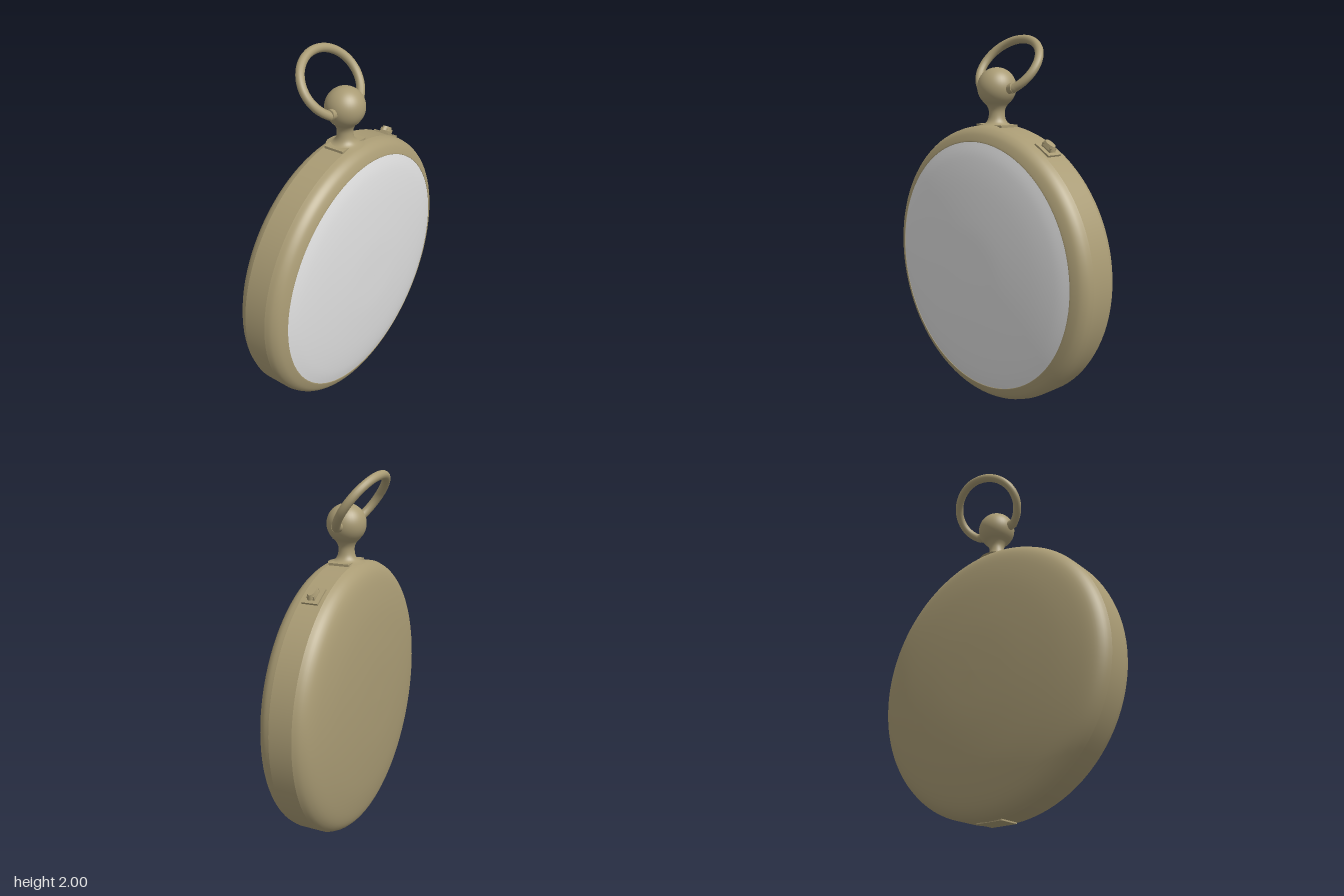
import * as THREE from 'three';

const CY = 0.765; // height of the case centre
const R = 0.76; // case radius

export function createModel() {
  const root = new THREE.Group();
  const brass = new THREE.MeshStandardMaterial({ name: 'brass', color: 0xa99b74, side: THREE.DoubleSide });
  const white = new THREE.MeshStandardMaterial({ name: 'white glass', color: 0xdedede, side: THREE.DoubleSide });

  const add = (name, geometry, material = brass, parent = root) => {
    const mesh = new THREE.Mesh(geometry, material);
    mesh.name = name;
    parent.add(mesh);
    return mesh;
  };
  const smooth = (pts, n = 24) =>
    new THREE.SplineCurve(pts.map(([r, y]) => new THREE.Vector2(r, y))).getPoints(n)
      .map((p) => new THREE.Vector2(Math.max(p.x, 0), p.y));
  // profile of [radius, z] pairs turned about the z axis
  const disc = (pts) => new THREE.LatheGeometry(smooth(pts), 96).rotateX(Math.PI / 2).translate(0, CY, 0);

  // Case
  add('backCover', disc([[0, -0.2], [0.25, -0.195], [0.48, -0.178], [0.62, -0.156], [0.7, -0.132], [0.742, -0.1], [R, -0.065]]));
  add('caseBand', disc([[R, -0.065], [R, 0.06]]));
  add('bezel', disc([[R, 0.06], [0.75, 0.095], [0.725, 0.125], [0.683, 0.145], [0.68, 0.138]]));
  add('glass', disc([[0.683, 0.142], [0.6, 0.163], [0.45, 0.182], [0.22, 0.197], [0, 0.2]]), white);

  // Flat fittings let into the band, placed by angle from the top
  const fitting = (name, angle, radius, w, h, d) => {
    const group = new THREE.Group();
    group.name = name;
    group.position.y = CY;
    group.rotation.z = -angle;
    root.add(group);
    add(name + 'Plate', new THREE.BoxGeometry(w, h, d).translate(0, radius - h / 2, 0), brass, group);
    return group;
  };
  fitting('neckBase', 0, 0.766, 0.2, 0.03, 0.115);
  fitting('hinge', Math.PI, 0.763, 0.16, 0.03, 0.12);

  // Push button on the upper left shoulder
  const button = fitting('pushButton', Math.PI / 6, 0.768, 0.11, 0.03, 0.09);
  add('buttonStem', new THREE.BoxGeometry(0.065, 0.05, 0.04).translate(0, 0.765, 0), brass, button);
  add('buttonCap', new THREE.CylinderGeometry(0.035, 0.047, 0.024, 20).scale(1, 1, 0.55).translate(0, 0.79, 0), brass, button);

  // Flared neck and crown ball
  add('neck', new THREE.LatheGeometry(
    smooth([[0.1, 1.522], [0.065, 1.535], [0.047, 1.56], [0.043, 1.6], [0.055, 1.63], [0.075, 1.65]]), 32));
  add('crownBall', new THREE.SphereGeometry(0.105, 40, 28).translate(0, 1.725, 0));

  // Tilted oval bow whose ends enter the ball
  const bowPoints = [];
  const start = 0.62;
  for (let i = 0; i <= 40; i++) {
    const a = -Math.PI / 2 + start + (i / 40) * (2 * Math.PI - 2 * start);
    const y = 1.835 + 0.143 * Math.sin(a);
    bowPoints.push(new THREE.Vector3(0.206 * Math.cos(a), y, -0.73 * (y - 1.72)));
  }
  bowPoints.unshift(new THREE.Vector3(0.07, 1.72, 0));
  bowPoints.push(new THREE.Vector3(-0.07, 1.72, 0));
  add('bow', new THREE.TubeGeometry(new THREE.CatmullRomCurve3(bowPoints), 110, 0.023, 14));

  // Collars where the bow meets the ball
  for (const s of [-1, 1]) {
    const collar = add(s > 0 ? 'leftCollar' : 'rightCollar', new THREE.CylinderGeometry(0.027, 0.027, 0.05, 18));
    collar.rotation.z = Math.PI / 2 + s * 0.2;
    collar.position.set(s * 0.105, 1.722, 0);
  }
  return root;
}
